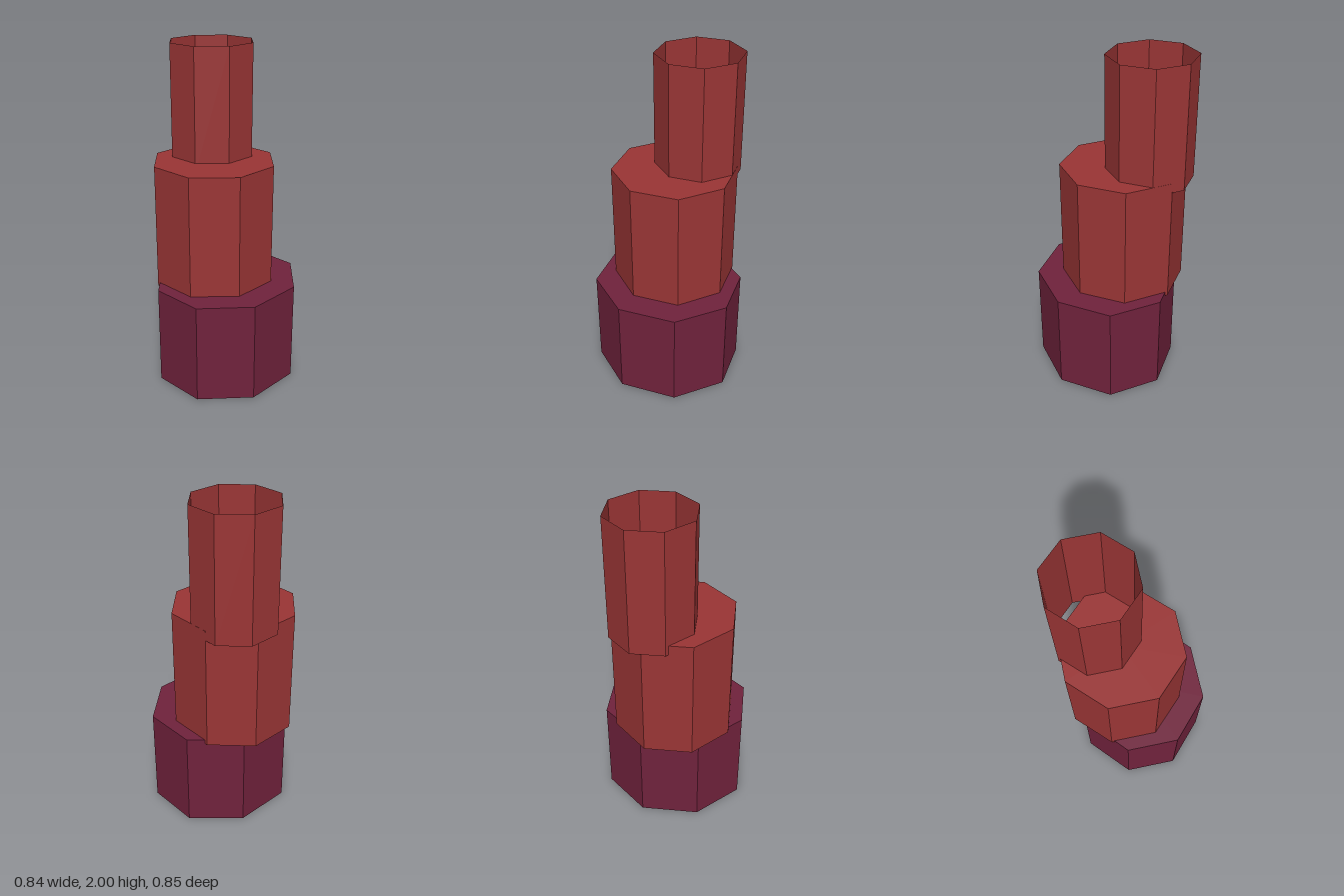
import * as THREE from 'three';

const material = (name, color) => {
  const m = new THREE.MeshStandardMaterial({ color, flatShading: true, side: THREE.DoubleSide });
  m.name = name;
  return m;
};

export function createModel() {
  const model = new THREE.Group();
  model.name = 'steppedTower';
  const maroon = material('maroon', 0x70223c);
  const red = material('brickRed', 0x9a3535);

  // Octagonal shell, open below, with flat sides facing the axes; the lid is optional.
  function section(name, mat, x, z, halfX, halfZ, y0, y1, lid) {
    const group = new THREE.Group();
    group.name = name;
    const wallGeo = new THREE.CylinderGeometry(1, 1, y1 - y0, 8, 1, true);
    wallGeo.rotateY(Math.PI / 8);
    const walls = new THREE.Mesh(wallGeo, mat);
    walls.name = name + 'Walls';
    walls.position.y = (y0 + y1) / 2;
    group.add(walls);
    if (lid) {
      const lidGeo = new THREE.CircleGeometry(1, 8, Math.PI / 8);
      lidGeo.rotateX(-Math.PI / 2);
      const top = new THREE.Mesh(lidGeo, mat);
      top.name = name + 'Lid';
      top.position.y = y1;
      group.add(top);
    }
    const c = Math.cos(Math.PI / 8);
    group.scale.set(halfX / c, 1, halfZ / c);
    group.position.set(x, 0, z);
    model.add(group);
  }

  section('base', maroon, 0, 0.039, 0.42, 0.387, 0, 0.606, true);
  section('middleTier', red, 0, -0.069, 0.342, 0.342, 0.58, 1.333, true);
  // Open chimney overhanging the middle tier
  section('chimney', red, 0.104, -0.188, 0.237, 0.237, 1.275, 2, false);
  return model;
}
